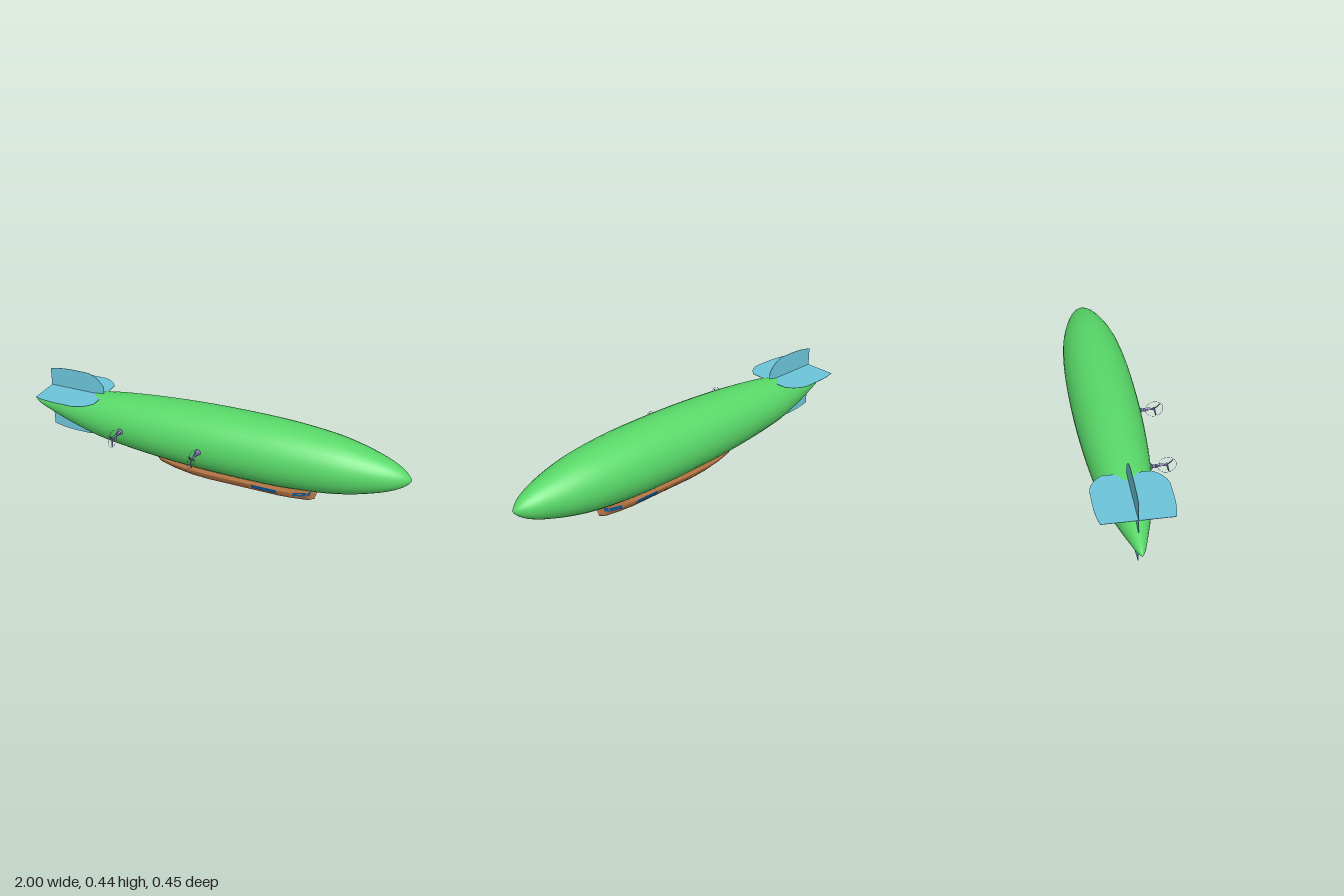
import * as THREE from 'three';
import { toCreasedNormals } from 'three/addons/utils/BufferGeometryUtils.js';

const AXIS_Y = 0.23, AXIS_Z = -0.05;
const mat = (color, side = THREE.FrontSide) => new THREE.MeshStandardMaterial({ color, side });
const GREEN = mat(0x58d868), BLUE = mat(0x6cc5da, THREE.DoubleSide), BROWN = mat(0xd08850, THREE.DoubleSide);
const GLASS = mat(0x1468b4, THREE.DoubleSide), PURPLE = mat(0x7f78b8, THREE.DoubleSide);

function add(parent, name, geometry, material) {
  const mesh = new THREE.Mesh(geometry, material);
  mesh.name = name;
  parent.add(mesh);
  return mesh;
}

function polyhedron(positions, indices) {
  const g = new THREE.BufferGeometry();
  g.setAttribute('position', new THREE.Float32BufferAttribute(positions, 3));
  g.setIndex(indices);
  g.computeVertexNormals();
  return g;
}

// Envelope: [x, radius] along the long axis
const HULL = [[-1, 0.001], [-0.97, 0.017], [-0.9, 0.04], [-0.75, 0.083], [-0.6, 0.117], [-0.4, 0.141],
  [-0.2, 0.156], [0, 0.164], [0.2, 0.166], [0.4, 0.162], [0.6, 0.146], [0.7, 0.13], [0.8, 0.106],
  [0.9, 0.073], [0.96, 0.042], [0.99, 0.016], [1, 0.001]];

function hullGeometry() {
  const curve = new THREE.CatmullRomCurve3(HULL.map(([x, r]) => new THREE.Vector3(r, x, 0)));
  const pts = curve.getPoints(48).map(p => new THREE.Vector2(Math.max(p.x, 0), p.y));
  return new THREE.LatheGeometry(pts, 32).rotateZ(-Math.PI / 2);
}

// Fin plate outline: u along x, v across
function finGeometry() {
  const s = new THREE.Shape();
  s.moveTo(-0.9, -0.158);
  s.quadraticCurveTo(-0.84, -0.175, -0.76, -0.175);
  s.lineTo(-0.69, -0.175);
  s.quadraticCurveTo(-0.63, -0.168, -0.594, -0.11);
  s.lineTo(-0.594, 0.11);
  s.quadraticCurveTo(-0.63, 0.168, -0.69, 0.175);
  s.lineTo(-0.76, 0.175);
  s.quadraticCurveTo(-0.84, 0.175, -0.9, 0.158);
  s.closePath();
  return new THREE.ExtrudeGeometry(s, { depth: 0.002, bevelEnabled: false }).translate(0, 0, -0.001);
}

// Gondola stations: [x at the top, half width, bottom y, rake]
const STATIONS = [[-0.288, 0, 0.07, 0], [-0.285, 0.035, 0.055, 0], [-0.26, 0.053, 0.035, 0], [-0.18, 0.068, 0.018, 0],
  [-0.09, 0.077, 0.005, 0], [0, 0.08, 0, 0], [0.375, 0.079, 0, 0], [0.465, 0.067, 0, 0.3],
  [0.53, 0.043, 0, 0.3], [0.545, 0.022, 0, 0.3], [0.57, 0, 0.012, 0.3]];
// Gondola side profile: [y, share of half width]
const SIDE = [[0.1, 1], [0.062, 1], [0.035, 0.82], [0.01, 0.5], [0, 0.2]];

function gondolaPoint([x, w, bottom, rake], y, share) {
  const py = 0.1 - (0.1 - y) * (0.1 - bottom) / 0.1;
  return new THREE.Vector3(x + (py - 0.1) * rake, py, w * share);
}

function gondolaGeometry() {
  const section = [...SIDE, ...SIDE.slice().reverse().map(([y, k]) => [y, -k])];
  const n = section.length, pos = [], idx = [];
  STATIONS.forEach((st, i) => section.forEach(([y, k], j) => {
    pos.push(...gondolaPoint(st, y, k).toArray());
    if (i < STATIONS.length - 1 && j < n - 1) {
      const a = i * n + j, b = a + n;
      idx.push(a, a + 1, b + 1, a, b + 1, b);
    }
  }));
  return toCreasedNormals(polyhedron(pos, idx), 0.45);
}

// Window pane lying just outside the gondola wall
function paneGeometry(x0, x1, y0, y1, side) {
  const corner = (x, y) => {
    const i = STATIONS.findIndex(s => s[0] > x), A = STATIONS[i - 1], B = STATIONS[i];
    const t = (x - A[0]) / (B[0] - A[0]);
    const share = 0.82 + 0.18 * Math.min((y - 0.035) / 0.027, 1);
    return gondolaPoint(A.map((v, k) => v + (B[k] - v) * t), y, share);
  };
  const q = [corner(x0, y0), corner(x1, y0), corner(x1, y1), corner(x0, y1)];
  const normal = q[1].clone().sub(q[0]).cross(q[3].clone().sub(q[0])).normalize();
  q.forEach(p => { p.addScaledVector(normal, 0.0015); p.z *= side; });
  return polyhedron(q.flatMap(p => p.toArray()), side > 0 ? [0, 1, 2, 0, 2, 3] : [0, 2, 1, 0, 3, 2]);
}

// Propeller unit: arm runs along +z from the hull, the rotor spins about x
function propeller(armLength) {
  const g = new THREE.Group();
  const arm = [[0, -0.02], [0.016, -0.02], [0.016, 0.002], [0.008, 0.008], [0.006, 0.018], [0.009, 0.02],
    [0.009, 0.026], [0.004, 0.03], [0.0035, armLength], [0, armLength]];
  const geo = new THREE.LatheGeometry(arm.map(p => new THREE.Vector2(...p)), 12).rotateX(Math.PI / 2);
  add(g, 'propellerArm', toCreasedNormals(geo, 0.6), PURPLE);
  const rotor = new THREE.Group();
  rotor.name = 'rotor';
  rotor.position.z = armLength;
  add(rotor, 'hub', new THREE.CylinderGeometry(0.005, 0.005, 0.022, 12).rotateZ(Math.PI / 2), PURPLE);
  add(rotor, 'guardRing', new THREE.TorusGeometry(0.0435, 0.0008, 6, 32).rotateY(Math.PI / 2), PURPLE);
  for (let i = 0; i < 3; i++) {
    const blade = add(rotor, 'blade', new THREE.BoxGeometry(0.003, 0.036, 0.007).rotateY(0.6).translate(0, 0.021, 0), PURPLE);
    blade.rotation.x = Math.PI / 4 + i * Math.PI * 2 / 3;
  }
  g.add(rotor);
  return g;
}

export function createModel() {
  const model = new THREE.Group();
  model.name = 'airship';

  add(model, 'envelope', hullGeometry(), GREEN).position.set(0, AXIS_Y, AXIS_Z);

  // Tail plates
  add(model, 'verticalFin', finGeometry(), BLUE).position.set(0, 0.27, AXIS_Z);
  add(model, 'horizontalFin', finGeometry().rotateX(Math.PI / 2), BLUE).position.set(0, 0.337, AXIS_Z);

  // Gondola with side and nose windows
  const gondola = new THREE.Group();
  gondola.name = 'gondola';
  gondola.position.z = AXIS_Z;
  add(gondola, 'cabin', gondolaGeometry(), BROWN);
  for (const side of [1, -1]) {
    add(gondola, 'sideWindow', paneGeometry(0.245, 0.374, 0.038, 0.064, side), GLASS);
    add(gondola, 'frontWindow', paneGeometry(0.467, 0.528, 0.038, 0.064, side), GLASS);
    add(gondola, 'noseWindow', paneGeometry(0.531, 0.544, 0.038, 0.064, side), GLASS);
  }
  model.add(gondola);

  // Propellers along one flank: [x, hull surface z, rotor z]
  for (const [x, z, rotorZ] of [[0, 0.114, 0.185], [-0.435, 0.088, 0.163]]) {
    const unit = propeller(rotorZ - z);
    unit.name = 'propeller';
    unit.position.set(x, AXIS_Y, z);
    model.add(unit);
  }
  return model;
}
